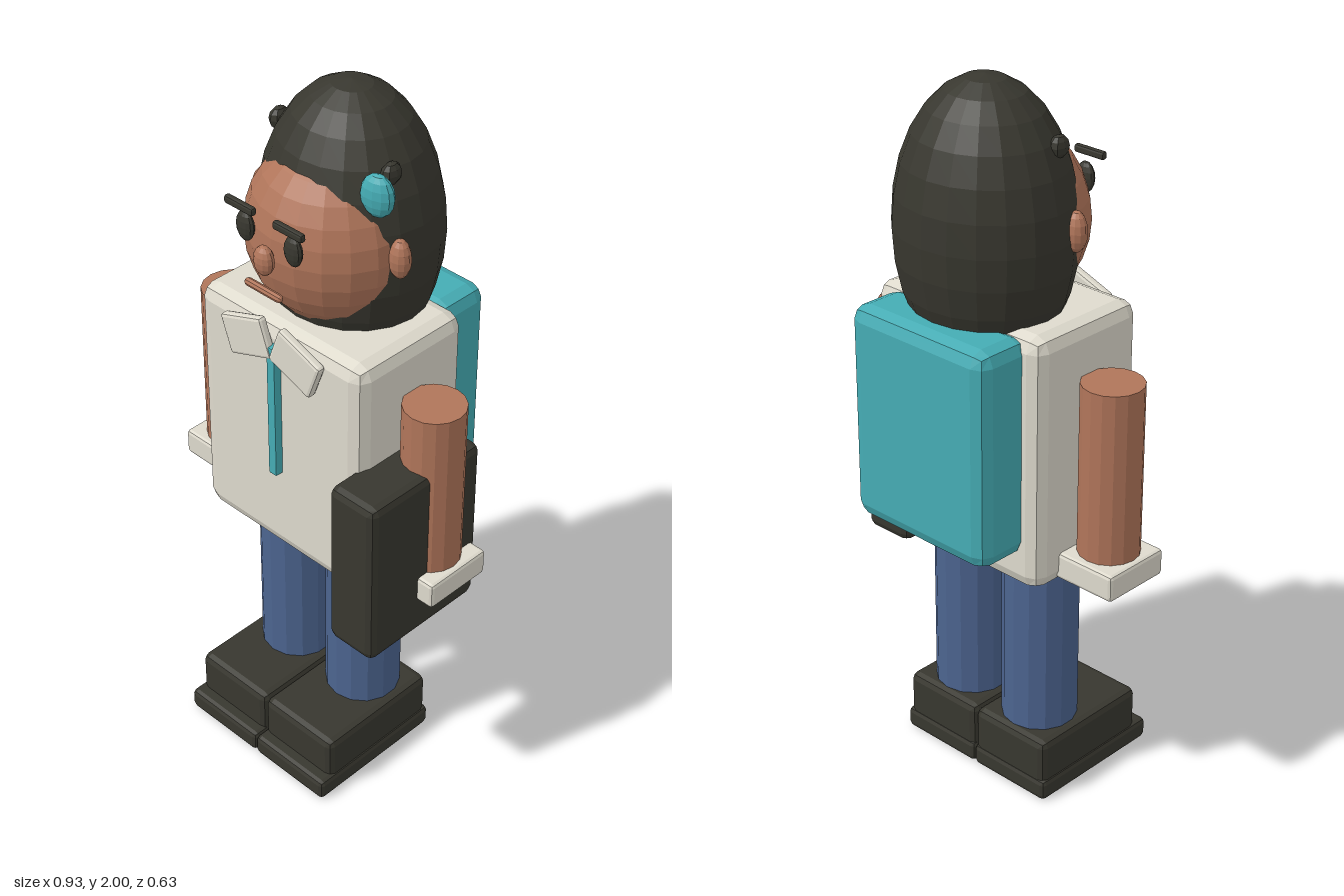
import * as THREE from 'three';
import { RoundedBoxGeometry } from 'three/addons/geometries/RoundedBoxGeometry.js';

function makeMaterial(name, color) {
  const m = new THREE.MeshStandardMaterial({ color, flatShading: true });
  m.name = name;
  return m;
}

export function createModel() {
  const model = new THREE.Group();
  model.name = 'figure';
  const cream = makeMaterial('cream', 0xdedacd);
  const skin = makeMaterial('skin', 0xb0755a);
  const dark = makeMaterial('dark', 0x38372f);
  const teal = makeMaterial('teal', 0x45acb4);
  const denim = makeMaterial('denim', 0x4c648f);

  const add = (name, geometry, material, x, y, z) => {
    const mesh = new THREE.Mesh(geometry, material);
    mesh.name = name;
    mesh.position.set(x, y, z);
    model.add(mesh);
    return mesh;
  };
  // Bevelled box given by its extents on each axis
  const box = (name, material, [x0, x1], [y0, y1], [z0, z1], bevel) =>
    add(name, new RoundedBoxGeometry(x1 - x0, y1 - y0, z1 - z0, 1, bevel), material,
      (x0 + x1) / 2, (y0 + y1) / 2, (z0 + z1) / 2);
  // Faceted ellipsoid given by its centre and radii
  const ball = (name, material, [x, y, z], [rx, ry, rz], seg = 12, rings = 8) =>
    add(name, new THREE.SphereGeometry(1, seg, rings).scale(rx, ry, rz), material, x, y, z);
  // Upright cylinder between two heights
  const post = (name, material, x, z, r, y0, y1, sides) =>
    add(name, new THREE.CylinderGeometry(r, r, y1 - y0, sides), material, x, (y0 + y1) / 2, z);
  // Extent on the chosen side of the body
  const span = (s, a, b) => (s > 0 ? [a, b] : [-b, -a]);

  // Body and things carried
  box('torso', cream, [-0.287, 0.287], [0.7, 1.412], [-0.175, 0.202], 0.04);
  box('backpack', teal, [-0.235, 0.235], [0.8, 1.405], [-0.318, -0.14], 0.04);
  box('bag', dark, [0.26, 0.414], [0.605, 1.105], [-0.11, 0.285], 0.022);
  box('tie', teal, [-0.014, 0.014], [0.96, 1.36], [0.2, 0.226], 0.004);

  // Head
  ball('hair', dark, [0, 1.61, -0.06], [0.247, 0.39, 0.226], 20, 14);
  ball('face', skin, [0, 1.62, 0], [0.228, 0.25, 0.22], 20, 14);
  ball('nose', skin, [0, 1.626, 0.238], [0.03, 0.041, 0.023]);
  const mouth = add('mouth', new THREE.CapsuleGeometry(0.011, 0.104, 3, 8), skin, 0, 1.542, 0.241);
  mouth.rotation.z = Math.PI / 2;
  const clip = ball('hairClip', teal, [0.195, 1.81, 0.052], [0.047, 0.058, 0.027]);
  clip.rotation.y = 0.2;

  for (const s of [1, -1]) {
    const side = s > 0 ? 'left' : 'right';

    // Face details
    ball(side + 'Ear', skin, [s * 0.235, 1.635, 0.014], [0.031, 0.055, 0.027]);
    ball(side + 'Eye', dark, [s * 0.082, 1.68, 0.219], [0.029, 0.042, 0.016]);
    box(side + 'Eyebrow', dark, span(s, 0.034, 0.132), [1.732, 1.754], [0.225, 0.243], 0.006);
    ball(side + 'HairTuft', dark, [s * 0.188, 1.845, 0], [0.021, 0.03, 0.031], 8, 6);

    // Collar flap
    const flap = box(side + 'Collar', cream, span(s, 0.01, 0.162), [1.3, 1.412], [0.204, 0.231], 0.009);
    flap.rotation.z = -s * 0.35;

    // Arm and cuff
    post(side + 'Arm', skin, s * 0.364, 0.016, 0.083, 0.711, 1.27, 16);
    box(side + 'Cuff', cream, span(s, 0.264, 0.464), [0.715, 0.79], [-0.09, 0.115], 0.01);

    // Leg and shoe
    post(side + 'Leg', denim, s * 0.128, 0.015, 0.105, 0.16, 0.74, 14);
    box(side + 'Shoe', dark, span(s, 0.001, 0.257), [0.03, 0.182], [-0.11, 0.276], 0.02);
    box(side + 'Sole', dark, span(s, 0, 0.264), [0, 0.062], [-0.115, 0.316], 0.014);
  }
  return model;
}
